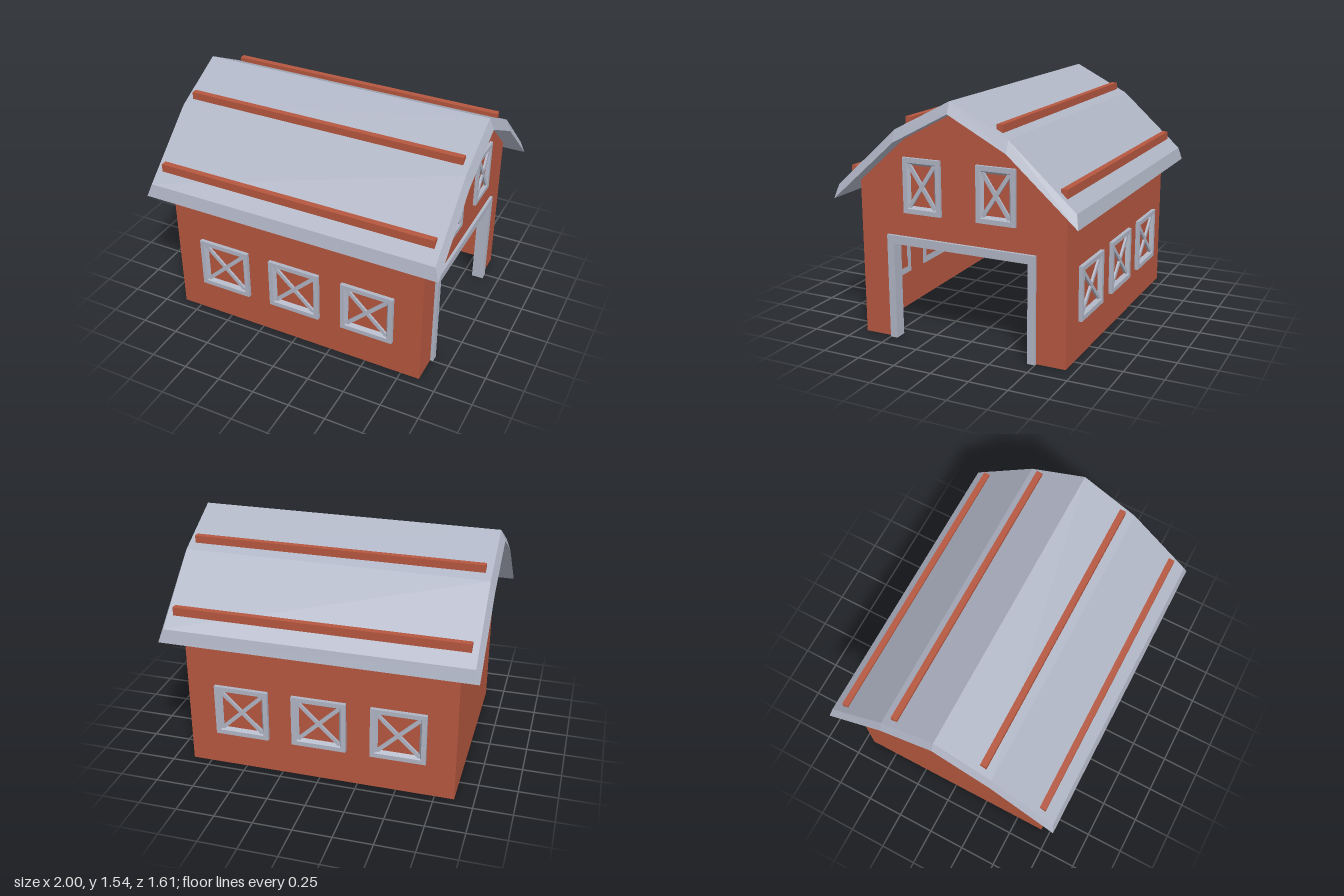
import * as THREE from 'three';

const red = new THREE.MeshStandardMaterial({ color: 0xb5573f, side: THREE.DoubleSide, flatShading: true });
const grey = new THREE.MeshStandardMaterial({ color: 0xb0b5c5, flatShading: true });

const HALF_X = 0.875, HALF_Z = 0.69, WALL_TOP = 0.997;

function add(parent, name, geometry, material, x = 0, y = 0, z = 0) {
  const mesh = new THREE.Mesh(geometry, material);
  mesh.name = name;
  mesh.position.set(x, y, z);
  parent.add(mesh);
  return mesh;
}

// Joins four-point sections with flat quads; an open run gets end caps
function loft(rings, closed) {
  const pos = [];
  const quad = (a, b, c, d) => pos.push(...a, ...b, ...c, ...a, ...c, ...d);
  const n = rings.length;
  for (let j = 0; j < (closed ? n : n - 1); j++) {
    const r = rings[j], s = rings[(j + 1) % n];
    for (let k = 0; k < 4; k++) quad(r[k], r[(k + 1) % 4], s[(k + 1) % 4], s[k]);
  }
  if (!closed) {
    quad(...[...rings[0]].reverse());
    quad(...rings[n - 1]);
  }
  const g = new THREE.BufferGeometry();
  g.setAttribute('position', new THREE.Float32BufferAttribute(pos, 3));
  g.computeVertexNormals();
  return g;
}

// Window facing +z: frame with a sloped inner edge and two crossed bars
function makeWindow(w, h, depth) {
  const group = new THREE.Group();
  group.name = 'window';
  const section = [[0, 0], [0, depth], [0.03, depth], [0.046, 0]];
  const corners = [[1, 1], [1, -1], [-1, -1], [-1, 1]];
  const rings = corners.map(([sx, sy]) =>
    section.map(([inset, z]) => [sx * (w / 2 - inset), sy * (h / 2 - inset), z]));
  add(group, 'windowFrame', loft(rings, true), grey);
  const iw = w - 0.08, ih = h - 0.08;
  for (const s of [1, -1]) {
    const bar = add(group, 'crossBar', new THREE.BoxGeometry(Math.hypot(iw, ih), 0.024, 0.014), grey, 0, 0, 0.008);
    bar.rotation.z = s * Math.atan2(ih, iw);
  }
  return group;
}

export function createModel() {
  const barn = new THREE.Group();
  barn.name = 'barn';

  // Long side walls
  for (const s of [1, -1]) {
    const wall = add(barn, 'sideWall', new THREE.PlaneGeometry(2 * HALF_X, WALL_TOP), red, 0, WALL_TOP / 2, s * HALF_Z);
    if (s < 0) wall.rotation.y = Math.PI;
  }

  // Gable walls; the one at +x has the doorway
  const gable = [[HALF_Z, 0], [HALF_Z, WALL_TOP], [0.37, 1.28], [0, 1.475],
    [-0.37, 1.28], [-HALF_Z, WALL_TOP], [-HALF_Z, 0]];
  const doorway = [[-0.46, 0], [-0.46, 0.63], [0.46, 0.63], [0.46, 0]];
  const toShape = pts => new THREE.Shape(pts.map(p => new THREE.Vector2(...p)));
  add(barn, 'doorWall', new THREE.ShapeGeometry(toShape([...gable, ...doorway])), red, HALF_X).rotation.y = Math.PI / 2;
  add(barn, 'endWall', new THREE.ShapeGeometry(toShape(gable)), red, -HALF_X).rotation.y = -Math.PI / 2;

  // Door surround
  const trim = toShape([[-0.5, 0], [-0.5, 0.675], [0.5, 0.675], [0.5, 0],
    [0.452, 0], [0.452, 0.622], [-0.452, 0.622], [-0.452, 0]]);
  const trimGeometry = new THREE.ExtrudeGeometry(trim, { depth: 0.08, bevelEnabled: false });
  add(barn, 'doorTrim', trimGeometry, grey, 0.815).rotation.y = Math.PI / 2;

  // Gambrel roof, upper skin slightly smaller than the underside
  const outer = [[0.785, 0.98], [0.37, 1.355], [0, 1.545], [-0.37, 1.355], [-0.785, 0.98]];
  const inner = [[0.805, 0.895], [0.37, 1.28], [0, 1.475], [-0.37, 1.28], [-0.805, 0.895]];
  const roofRings = outer.map(([oz, oy], i) => {
    const [iz, iy] = inner[i];
    return [[-0.97, oy, oz], [0.97, oy, oz], [1, iy, iz], [-1, iy, iz]];
  });
  add(barn, 'roof', loft(roofRings, false), grey);

  // Battens along the roof
  for (const s of [1, -1]) {
    add(barn, 'upperBatten', new THREE.BoxGeometry(1.86, 0.05, 0.04), red, 0, 1.405, s * 0.297);
    add(barn, 'lowerBatten', new THREE.BoxGeometry(1.86, 0.06, 0.04), red, 0, 1.07, s * 0.692);
  }

  // Three windows on each side, two above the door
  for (const s of [1, -1]) {
    for (const x of [-0.512, 0, 0.512]) {
      const win = makeWindow(0.355, 0.345, 0.025);
      win.position.set(x, 0.408, s * HALF_Z);
      if (s < 0) win.rotation.y = Math.PI;
      barn.add(win);
    }
    const loft = makeWindow(0.255, 0.345, 0.02);
    loft.name = 'loftWindow';
    loft.position.set(HALF_X, 1, s * 0.247);
    loft.rotation.y = Math.PI / 2;
    barn.add(loft);
  }
  return barn;
}
